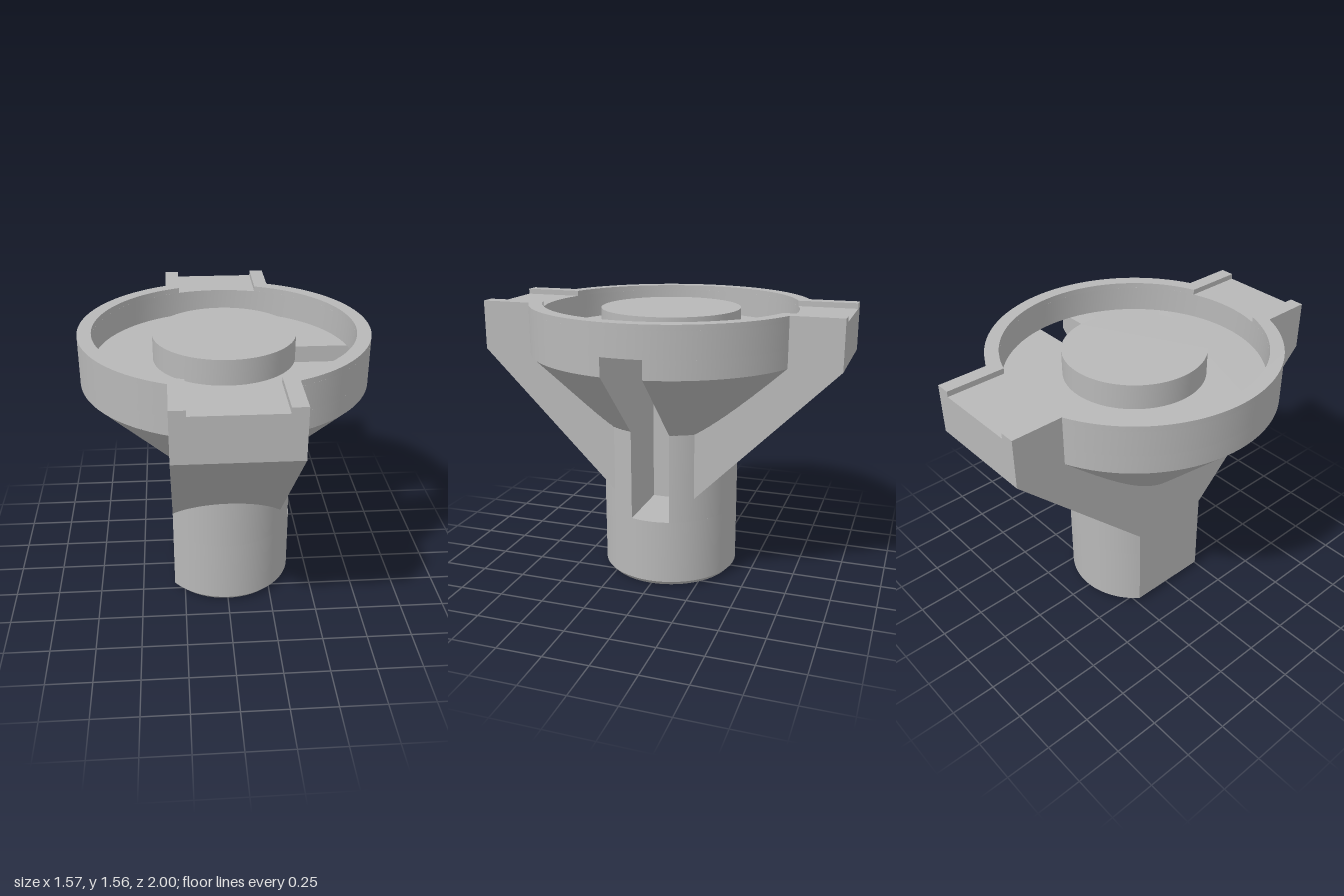
import * as THREE from 'three';
import { toCreasedNormals } from 'three/addons/utils/BufferGeometryUtils.js';

const SLOT = 0.11;      // half width of the slot
const STEM = 0.388;     // stem radius
const BOWL = 0.785;     // bowl outer radius
const BORE = 0.71;      // bowl inner radius
const RIB = 0.31;       // half width of the ribs
const NOTCH = 0.23;     // half width of the shallow channel

// Points [x, z] on an arc
function arc(r, from, to, n = 40) {
  return Array.from({ length: n + 1 }, (_, i) => {
    const a = from + (to - from) * i / n;
    return [r * Math.cos(a), r * Math.sin(a)];
  });
}

const slotCorners = [[0, -SLOT], [0, SLOT]];

// Circle with an optional flat on the -x side and an optional slot on the +x side
function roundOutline(r, flat, slotted) {
  const a = slotted ? Math.asin(SLOT / r) : 0;
  const c = flat ? Math.acos(-flat / r) : Math.PI;
  const back = arc(r, -c, -a);
  if (!flat) back.shift();
  if (!slotted) back.pop();
  return [...arc(r, a, c), ...back, ...(slotted ? slotCorners : [])];
}

// Circle with a rectangular ear at the front and at the back
function earedOutline(slotted) {
  const a = slotted ? Math.asin(SLOT / BOWL) : 0;
  const e = Math.acos(RIB / BOWL);
  const last = arc(BOWL, -e, -a);
  if (!slotted) last.pop();
  return [
    ...arc(BOWL, a, e), [RIB, 1], [-RIB, 1],
    ...arc(BOWL, Math.PI - e, Math.PI + e), [-RIB, -1], [RIB, -1],
    ...last, ...(slotted ? slotCorners : []),
  ];
}

// Solid between two matching outlines; caps holds 'b' and/or 't'
function solid(bottom, top, y0, y1, caps = 'bt', hole = null) {
  const pos = [];
  const tri = (a, b, c) => pos.push(...a, ...b, ...c);
  const at = ([x, z], y) => [x, y, z];
  const wall = (lo, hi) => lo.forEach((p, i) => {
    const j = (i + 1) % lo.length;
    tri(at(p, y0), at(hi[i], y1), at(lo[j], y0));
    tri(at(lo[j], y0), at(hi[i], y1), at(hi[j], y1));
  });
  const cap = (outline, y, up) => {
    const v = (list) => list.map(([x, z]) => new THREE.Vector2(x, z));
    const all = hole ? [...outline, ...hole] : outline;
    for (const f of THREE.ShapeUtils.triangulateShape(v(outline), hole ? [v(hole)] : [])) {
      const [a, b, c] = f.map((i) => all[i]);
      const area = (b[0] - a[0]) * (c[1] - a[1]) - (b[1] - a[1]) * (c[0] - a[0]);
      if ((area < 0) === up) tri(at(a, y), at(b, y), at(c, y));
      else tri(at(a, y), at(c, y), at(b, y));
    }
  };
  wall(bottom, top);
  if (hole) wall(hole, hole);
  if (caps.includes('b')) cap(bottom, y0, false);
  if (caps.includes('t')) cap(top, y1, true);
  const g = new THREE.BufferGeometry();
  g.setAttribute('position', new THREE.Float32BufferAttribute(pos, 3));
  return toCreasedNormals(g, Math.PI / 6);
}

export function createModel() {
  const model = new THREE.Group();
  const grey = new THREE.MeshStandardMaterial({ color: 0xb8b8b8 });
  grey.name = 'plain grey';
  const add = (name, geometry) => {
    const mesh = new THREE.Mesh(geometry, grey);
    mesh.name = name;
    model.add(mesh);
    return mesh;
  };
  const prism = (outline, y0, y1, caps, hole) => solid(outline, outline, y0, y1, caps, hole);

  // Stem: chamfered foot, plain length, slotted length
  const stem = roundOutline(STEM, RIB, false);
  add('stemChamfer', solid(roundOutline(STEM - 0.025, RIB - 0.025, false), stem, 0, 0.027, 'b'));
  add('stemLower', prism(stem, 0.027, 0.39, 't'));
  add('stemSlotted', prism(roundOutline(STEM, RIB, true), 0.39, 0.9, ''));

  // Flared underside of the bowl, split by the slot
  add('cone', solid(roundOutline(0.3, 0, true), roundOutline(BOWL, 0, true), 0.805, 1.29, ''));

  // Bowl floor, wall and central boss
  add('bowlFloor', prism(earedOutline(true), 1.29, 1.39, 't'));
  add('bowlWall', prism(earedOutline(false), 1.39, 1.53, 'bt', roundOutline(BORE, 0, false).reverse()));
  add('centreBoss', prism(roundOutline(STEM, 0, false), 1.39, 1.53));

  // Raised rim on each side of the channel
  const o = Math.acos(RIB / BOWL);
  const n = Math.acos(NOTCH / BORE);
  const rim = [[RIB, -1], ...arc(BOWL, -o, o), [RIB, 1], [NOTCH, 1], ...arc(BORE, n, -n), [NOTCH, -1]];
  add('leftRim', prism(rim, 1.53, 1.56, 't'));
  add('rightRim', prism(rim.map(([x, z]) => [-x, z]).reverse(), 1.53, 1.56, 't'));

  // Sloping ribs under the ears
  const ribPlan = (z) => [[RIB, 0.23], [RIB, z], [-RIB, z], [-RIB, 0.23]];
  const rib = solid(ribPlan(0.23), ribPlan(1), 0.52, 1.29, '');
  add('frontRib', rib);
  add('backRib', rib).rotation.y = Math.PI;

  return model;
}
